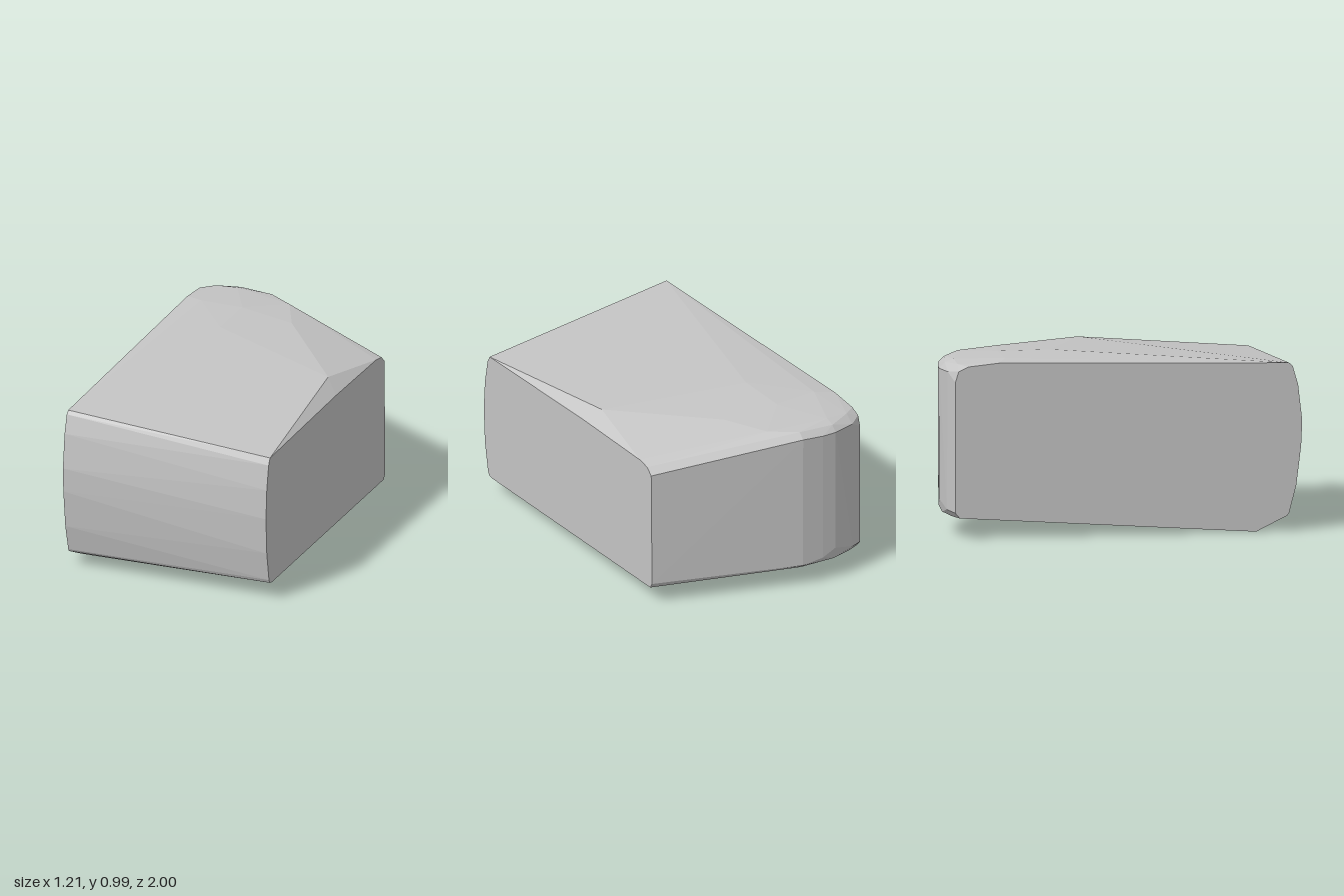
import * as THREE from 'three';
import { ConvexGeometry } from 'three/addons/geometries/ConvexGeometry.js';

// Turns [z, y] pairs into points on the section at x
const section = (x, pairs) => pairs.map(([z, y]) => new THREE.Vector3(x, y, z));

export function createModel() {
  const group = new THREE.Group();
  group.name = 'block';
  const grey = new THREE.MeshStandardMaterial({ color: 0xc4c4c4 });
  grey.name = 'light grey';

  const points = [
    // tall side: bowed front, chamfered lower front edge, clipped back corner
    ...section(-0.604, [
      [0.74, 0.004], [0.915, 0.09], [0.925, 0.105], [0.965, 0.26], [0.992, 0.48], [0.998, 0.62],
      [0.975, 0.82], [0.945, 0.925], [0.925, 0.943],
      [-0.7, 0.982], [-0.87, 0.965], [-0.925, 0.94], [-0.945, 0.88], [-0.945, 0.15], [-0.92, 0.12],
    ]),
    // rounded back corner
    ...section(-0.53, [[-0.92, 0.972], [-0.975, 0.93], [-0.98, 0.16], [-0.95, 0.122]]),
    ...section(-0.5, [[-0.65, 0.995]]),
    ...section(-0.4, [[-0.92, 0.982], [-0.97, 0.965], [-1, 0.93], [-0.998, 0.2], [-0.985, 0.13], [-0.95, 0.12]]),
    ...section(-0.32, [[-0.995, 0.93], [-0.992, 0.16]]),
    ...section(-0.25, [[-0.35, 0.997], [-0.65, 0.996]]),
    ...section(-0.2, [[-0.94, 0.968], [-0.975, 0.935], [-0.972, 0.14], [-0.95, 0.12]]),
    // top creases
    ...section(-0.05, [[-0.84, 0.975]]),
    ...section(0.07, [[-0.6, 0.978]]),
    ...section(0.525, [[-0.07, 0.945]]),
    // short side
    ...section(0.604, [
      [0.88, 0.1], [0.905, 0.108], [0.915, 0.128], [0.945, 0.3], [0.956, 0.51], [0.945, 0.68],
      [0.92, 0.82], [0.9, 0.858],
      [0, 0.876], [-0.55, 0.872], [-0.62, 0.858], [-0.66, 0.82], [-0.668, 0.14], [-0.65, 0.11],
    ]),
  ];

  const body = new THREE.Mesh(new ConvexGeometry(points), grey);
  body.name = 'body';
  group.add(body);
  return group;
}
